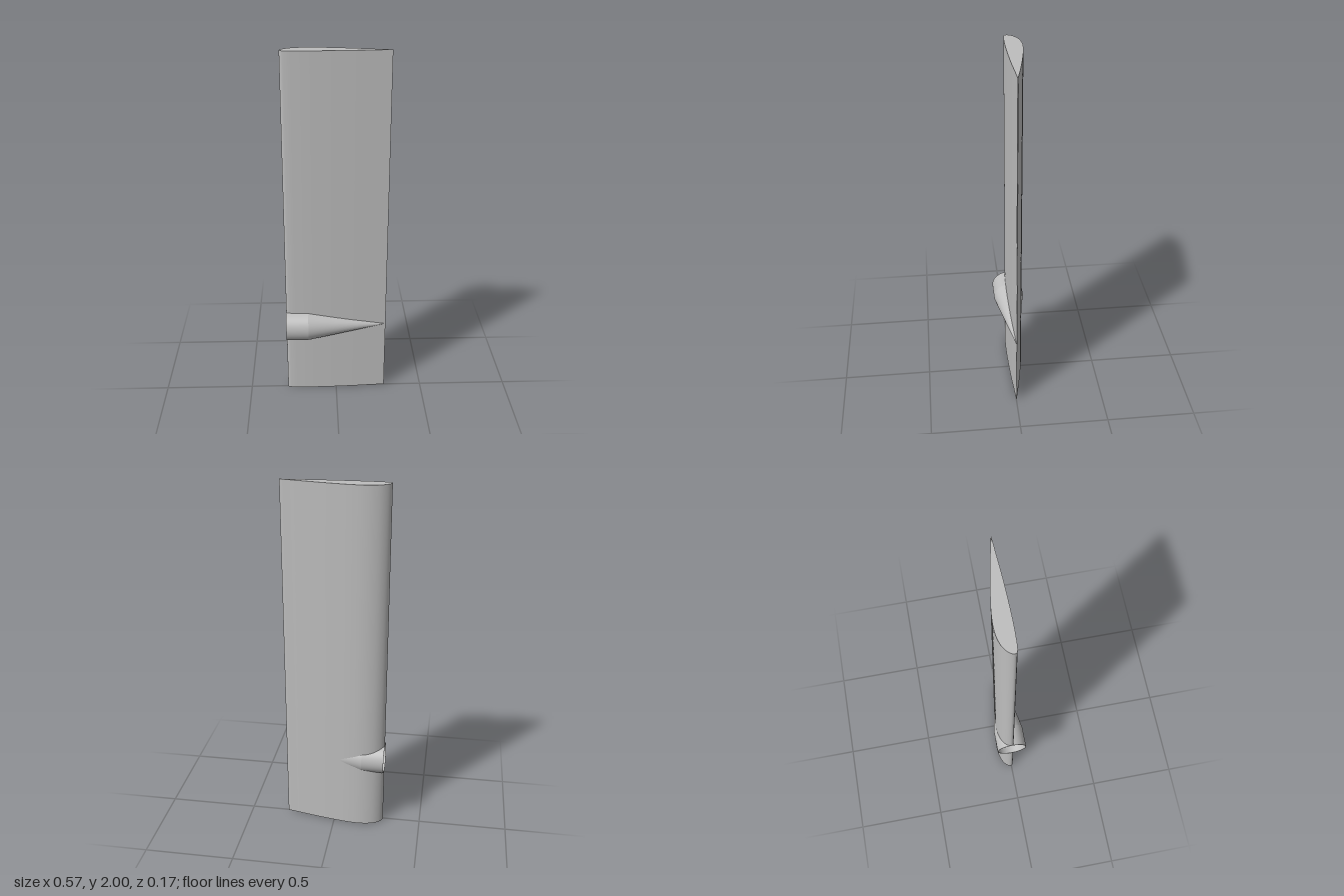
import * as THREE from 'three';

const HEIGHT = 2, POD_Y = 0.42, POD_R = 0.0865;
const NOSE = -0.285, SHOULDER = -0.16, TAIL = 0.285;

// pod radius at a station along x
const podRadius = (x) => POD_R * Math.min(1, Math.max(0, (TAIL - x) / (TAIL - SHOULDER)));

// aerofoil section [x, z], from the trailing edge over the back to the nose and along the front
const SECTION = [
  [0.285, -0.001], [0.2, -0.02], [0.1, -0.04], [0, -0.057], [-0.08, -0.068], [-0.15, -0.0715],
  [-0.2, -0.066], [-0.24, -0.053], [-0.268, -0.034], [-0.281, -0.017], [-0.285, -0.002],
  [-0.279, 0.008], [-0.255, 0.0135], [-0.2, 0.0165], [-0.13, 0.0175], [0, 0.015],
  [0.1, 0.011], [0.2, 0.005], [0.285, 0],
];

function contour() {
  const curve = new THREE.CatmullRomCurve3(SECTION.map(([x, z]) => new THREE.Vector3(x, 0, z)));
  return curve.getSpacedPoints(200);
}

// vertical skin with an opening where the pod passes through
function skinGeometry(points, inward) {
  const pos = [], index = [];
  points.forEach((p) => {
    const h = Math.sqrt(Math.max(0, podRadius(p.x) ** 2 - p.z ** 2));
    for (const y of [0, POD_Y - h, POD_Y + h, HEIGHT]) pos.push(p.x, y, p.z);
  });
  for (let i = 0; i < points.length - 1; i++) {
    for (const k of [0, 2]) {
      const a = i * 4 + k, b = a + 4, c = b + 1, d = a + 1;
      if (inward) index.push(a, c, b, a, d, c);
      else index.push(a, b, c, a, c, d);
    }
  }
  const g = new THREE.BufferGeometry();
  g.setAttribute('position', new THREE.Float32BufferAttribute(pos, 3));
  g.setIndex(index);
  g.computeVertexNormals();
  return g;
}

const flat = (points) => points.map((p) => new THREE.Vector2(p.x, -p.z));

export function createModel() {
  const model = new THREE.Group();
  const grey = new THREE.MeshStandardMaterial({ color: 0xbebebe, side: THREE.DoubleSide });
  grey.name = 'light grey';
  const add = (name, geometry, parent = model) => {
    const mesh = new THREE.Mesh(geometry, grey);
    mesh.name = name;
    parent.add(mesh);
    return mesh;
  };

  // hollow blade: outer skin, inner skin, closed top and open bottom
  const blade = new THREE.Group();
  blade.name = 'blade';
  model.add(blade);
  const outer = contour();
  const inner = outer.map((p) => new THREE.Vector3(p.x * 0.975, 0, -0.022 + (p.z + 0.022) * 0.86));
  inner[0].z = inner[inner.length - 1].z = -0.003;
  add('outerSkin', skinGeometry(outer, false), blade);
  add('innerSkin', skinGeometry(inner, true), blade);

  const top = new THREE.ShapeGeometry(new THREE.Shape(flat(outer)));
  top.rotateX(-Math.PI / 2);
  add('topCap', top, blade).position.y = HEIGHT;

  // thin rim round the open bottom
  const rimPos = [], rimIndex = [];
  outer.forEach((p, i) => rimPos.push(p.x, 0, p.z, inner[i].x, 0, inner[i].z));
  for (let i = 0; i < outer.length - 1; i++) {
    const a = i * 2;
    rimIndex.push(a, a + 1, a + 3, a, a + 3, a + 2);
  }
  const rim = new THREE.BufferGeometry();
  rim.setAttribute('position', new THREE.Float32BufferAttribute(rimPos, 3));
  rim.setIndex(rimIndex);
  rim.computeVertexNormals();
  add('bottomRim', rim, blade);

  // hollow pod: open cylinder at the nose tapering to a point at the tail
  const pod = new THREE.Group();
  pod.name = 'pod';
  pod.position.y = POD_Y;
  model.add(pod);
  const wall = 0.004;
  const lathe = (name, profile) => {
    const g = new THREE.LatheGeometry(profile.map(([r, x]) => new THREE.Vector2(r, x)), 64);
    g.rotateZ(-Math.PI / 2);
    add(name, g, pod);
  };
  lathe('podBarrel', [[POD_R, NOSE], [POD_R, SHOULDER]]);
  lathe('podCone', [[POD_R, SHOULDER], [0, TAIL]]);
  lathe('podLip', [[POD_R - wall, NOSE], [POD_R, NOSE]]);
  lathe('ductBarrel', [[POD_R - wall, SHOULDER], [POD_R - wall, NOSE]]);
  lathe('ductCone', [[0, TAIL - 0.025], [POD_R - wall, SHOULDER]]);

  return model;
}
